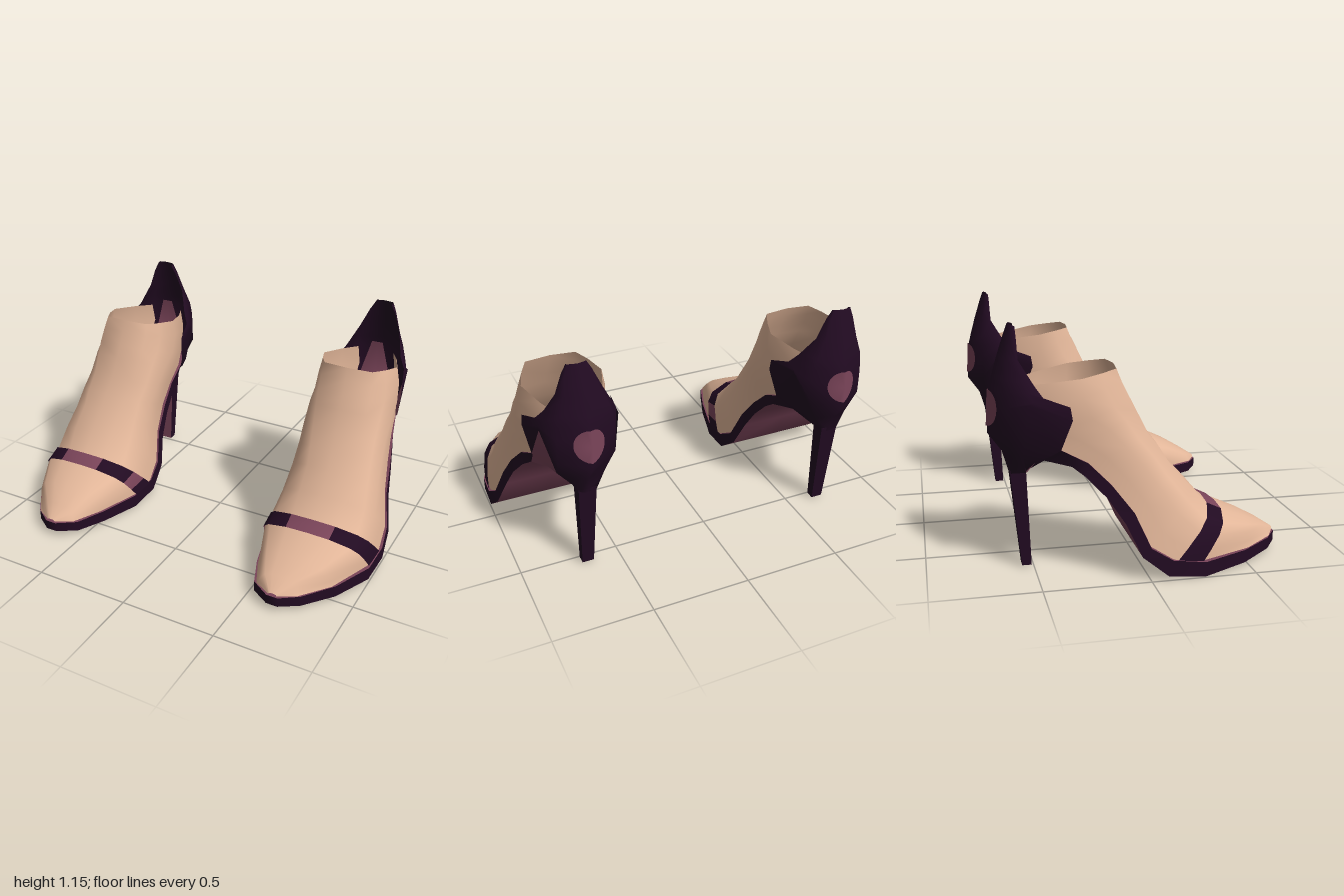
import * as THREE from 'three';

const mat = (name, color) =>
  new THREE.MeshStandardMaterial({ name, color, side: THREE.DoubleSide });

// Sheet through rows of [x, y, z] points; isAccent(row, col, tri) picks the second material.
function sheet(name, rows, materials, side, isAccent = () => false) {
  const n = rows[0].length;
  const sets = [[], []];
  for (let r = 0; r < rows.length - 1; r++) {
    for (let c = 0; c < n - 1; c++) {
      const a = r * n + c, b = a + 1, d = a + n, e = d + 1;
      [[a, d, e], [a, e, b]].forEach((t, k) => {
        if (side < 0) t.reverse();
        sets[isAccent(r, c, k) ? 1 : 0].push(...t);
      });
    }
  }
  const g = new THREE.BufferGeometry();
  const pos = rows.flat().flatMap(([x, y, z]) => [x * side, y, z]);
  g.setAttribute('position', new THREE.Float32BufferAttribute(pos, 3));
  g.setIndex([...sets[0], ...sets[1]]);
  g.addGroup(0, sets[0].length, 0);
  if (sets[1].length) g.addGroup(sets[0].length, sets[1].length, 1);
  g.computeVertexNormals();
  const mesh = new THREE.Mesh(g, sets[1].length ? materials : materials[0]);
  mesh.name = name;
  return mesh;
}

// Foot stations: base z, base y, top z, top y, centre x, base half width, mid half width, top flatness
const FOOT = [
  [0.70, 0.09, 0.70, 0.10, 0.66, 0.02, 0.02, 0.45],
  [0.65, 0.09, 0.62, 0.15, 0.66, 0.11, 0.09, 0.45],
  [0.50, 0.085, 0.52, 0.205, 0.685, 0.20, 0.175, 0.45],
  [0.25, 0.08, 0.385, 0.265, 0.695, 0.283, 0.257, 0.43],
  [0.12, 0.09, 0.315, 0.30, 0.695, 0.293, 0.262, 0.43],
  [0.00, 0.165, 0.23, 0.40, 0.70, 0.275, 0.255, 0.47],
  [-0.07, 0.32, 0.14, 0.50, 0.695, 0.24, 0.235, 0.5],
  [-0.17, 0.45, 0.09, 0.58, 0.69, 0.215, 0.227, 0.54],
  [-0.27, 0.55, 0.03, 0.66, 0.68, 0.20, 0.225, 0.57],
  [-0.39, 0.61, -0.02, 0.765, 0.676, 0.18, 0.226, 0.6],
  [-0.53, 0.65, -0.05, 0.83, 0.674, 0.12, 0.225, 0.62],
  [-0.58, 0.78, -0.085, 0.90, 0.67, 0.10, 0.218, 0.63],
  [-0.55, 0.89, -0.11, 0.96, 0.667, 0.10, 0.20, 0.64],
];

// Arch over the foot from one side of the sole to the other
function arch([zb, yb, zt, yt, cx, wb, w, flat], grow = 0) {
  const half = [[0, wb], [0.25, (wb + w) * 0.51], [0.58, w], [0.8, w * 0.84], [0.97, w * flat], [1, 0]];
  const point = ([h, u], s) => [
    cx + s * (u + (u > 0 ? grow : 0)),
    yb + (yt - yb) * h + grow * h,
    zb + (zt - zb) * h + grow * h * 0.5,
  ];
  return [...half.map((p) => point(p, -1)), ...half.slice(0, -1).reverse().map((p) => point(p, 1))];
}

// Sole stations: top z, top y, bottom z, bottom y, centre x, half width
const SOLE = [
  [0.705, 0.085, 0.705, 0.035, 0.66, 0.03],
  [0.64, 0.085, 0.64, 0.03, 0.658, 0.125],
  [0.48, 0.08, 0.48, 0.018, 0.685, 0.215],
  [0.26, 0.075, 0.26, 0.005, 0.70, 0.29],
  [0.10, 0.10, 0.08, 0.025, 0.70, 0.30],
  [0.00, 0.16, -0.04, 0.12, 0.70, 0.285],
  [-0.07, 0.32, -0.11, 0.27, 0.695, 0.25],
  [-0.17, 0.45, -0.19, 0.39, 0.69, 0.23],
  [-0.27, 0.55, -0.28, 0.485, 0.68, 0.21],
  [-0.39, 0.61, -0.34, 0.53, 0.67, 0.19],
  [-0.57, 0.64, -0.48, 0.55, 0.665, 0.11],
];

// Heel cup rows from tip to stem, each from centre back to wing: [dx, y, z]
const CUP = [
  [[0, 1.16, -0.60], [0.045, 1.16, -0.59], [0.047, 1.155, -0.575], [0.045, 1.15, -0.57]],
  [[0, 1.11, -0.618], [0.065, 1.11, -0.597], [0.07, 1.11, -0.575], [0.07, 1.11, -0.568]],
  [[0, 1.01, -0.65], [0.09, 1.01, -0.615], [0.108, 1.01, -0.575], [0.11, 1.01, -0.565]],
  [[0, 0.92, -0.675], [0.125, 0.92, -0.62], [0.15, 0.92, -0.54], [0.155, 0.90, -0.50]],
  [[0, 0.86, -0.69], [0.135, 0.87, -0.62], [0.175, 0.87, -0.53], [0.19, 0.85, -0.465]],
  [[0, 0.80, -0.693], [0.14, 0.80, -0.62], [0.19, 0.83, -0.51], [0.222, 0.81, -0.35]],
  [[0, 0.66, -0.70], [0.14, 0.68, -0.62], [0.193, 0.82, -0.53], [0.224, 0.75, -0.34]],
  [[0, 0.57, -0.635], [0.085, 0.56, -0.60], [0.13, 0.58, -0.55], [0.20, 0.61, -0.39]],
  [[0, 0.47, -0.605], [0.045, 0.47, -0.60], [0.045, 0.47, -0.53], [0.02, 0.47, -0.53]],
];
const HEEL_X = 0.667;

function makeShoe(side, skin, dark, plum) {
  const shoe = new THREE.Group();
  shoe.name = side > 0 ? 'leftShoe' : 'rightShoe';

  // Open-topped foot
  shoe.add(sheet('foot', FOOT.map((s) => arch(s)), [skin], side));

  // Toe strap with a lighter middle and a lighter patch on the inner side
  const strapRows = [FOOT[3], FOOT[4]].map((s) => arch(s, 0.006));
  shoe.add(sheet('toeStrap', strapRows, [dark, plum], side, (r, c) => [1, 4, 5].includes(c)));

  // Sole: underside running to the stem, insole with heel tab, and edge band
  const sole = new THREE.Group();
  sole.name = 'sole';
  const across = (cx, w, y, z) => [-1, 0, 1].map((u) => [cx + u * w, y, z]);
  const under = SOLE.map(([, , z, y, cx, w]) => across(cx, w, y, z));
  const inner = SOLE.map(([z, y, , , cx, w]) => across(cx, w, y, z));
  sole.add(sheet('outsole', [...under, across(HEEL_X, 0.045, 0.47, -0.528)], [plum], side));
  sole.add(sheet('insole', [...inner, across(HEEL_X, 0.03, 0.93, -0.565)], [plum], side));
  const edge = (u) => SOLE.map(([zt, yt, zb, yb, cx, w]) =>
    [[cx + u * w, yt, zt], [cx + u * w, yb, zb]]);
  const band = [...edge(-1).reverse(), ...edge(1)];
  sole.add(sheet('soleEdge', band, [dark, plum], side,
    (r) => side > 0 && r === band.length - 2));
  shoe.add(sole);

  // Heel cup leaning slightly outward at the tip, with a lighter wedge on one outer side
  const cupPoint = ([dx, y, z], s) => [HEEL_X + s * dx + Math.max(0, y - 0.9) * 0.06, y, z];
  const cupRows = CUP.map((row) => [
    ...row.slice(1).reverse().map((p) => cupPoint(p, -1)),
    ...row.map((p) => cupPoint(p, 1)),
  ]);
  shoe.add(sheet('heelCup', cupRows, [dark, plum], side,
    (r, c, k) => side > 0 && c === 5 && (r === 7 || (r === 6 && k === 0))));

  // Tapered stiletto, lighter on its front face
  const stem = new THREE.BoxGeometry(1, 1, 1);
  const p = stem.attributes.position;
  for (let i = 0; i < p.count; i++) {
    const top = p.getY(i) > 0;
    const front = p.getZ(i) > 0;
    const z = top ? (front ? -0.53 : -0.605) : (front ? -0.51 : -0.555);
    p.setXYZ(i, side * HEEL_X + p.getX(i) * (top ? 0.09 : 0.06), top ? 0.49 : 0.01, z);
  }
  stem.computeVertexNormals();
  const stiletto = new THREE.Mesh(stem, [dark, dark, dark, dark, plum, dark]);
  stiletto.name = 'stiletto';
  shoe.add(stiletto);

  // Round patch folded over the back ridge of the cup
  const disc = new THREE.CircleGeometry(1, 24);
  const q = disc.attributes.position;
  for (let i = 0; i < q.count; i++) {
    const dx = q.getX(i) * 0.075;
    const y = 0.778 + q.getY(i) * 0.085;
    const ridge = -0.69 - (0.86 - y) * 0.05;
    q.setXYZ(i, side * HEEL_X - dx, y, ridge - 0.006 + Math.abs(dx) * 0.53);
  }
  disc.computeVertexNormals();
  const patch = new THREE.Mesh(disc, plum);
  patch.name = 'heelPatch';
  shoe.add(patch);
  return shoe;
}

export function createModel() {
  const skin = mat('skin', 0xe2b699);
  const dark = mat('darkLeather', 0x220b22);
  const plum = mat('plumLeather', 0x7a4459);
  const model = new THREE.Group();
  model.name = 'highHeels';
  for (const side of [1, -1]) model.add(makeShoe(side, skin, dark, plum));
  return model;
}
